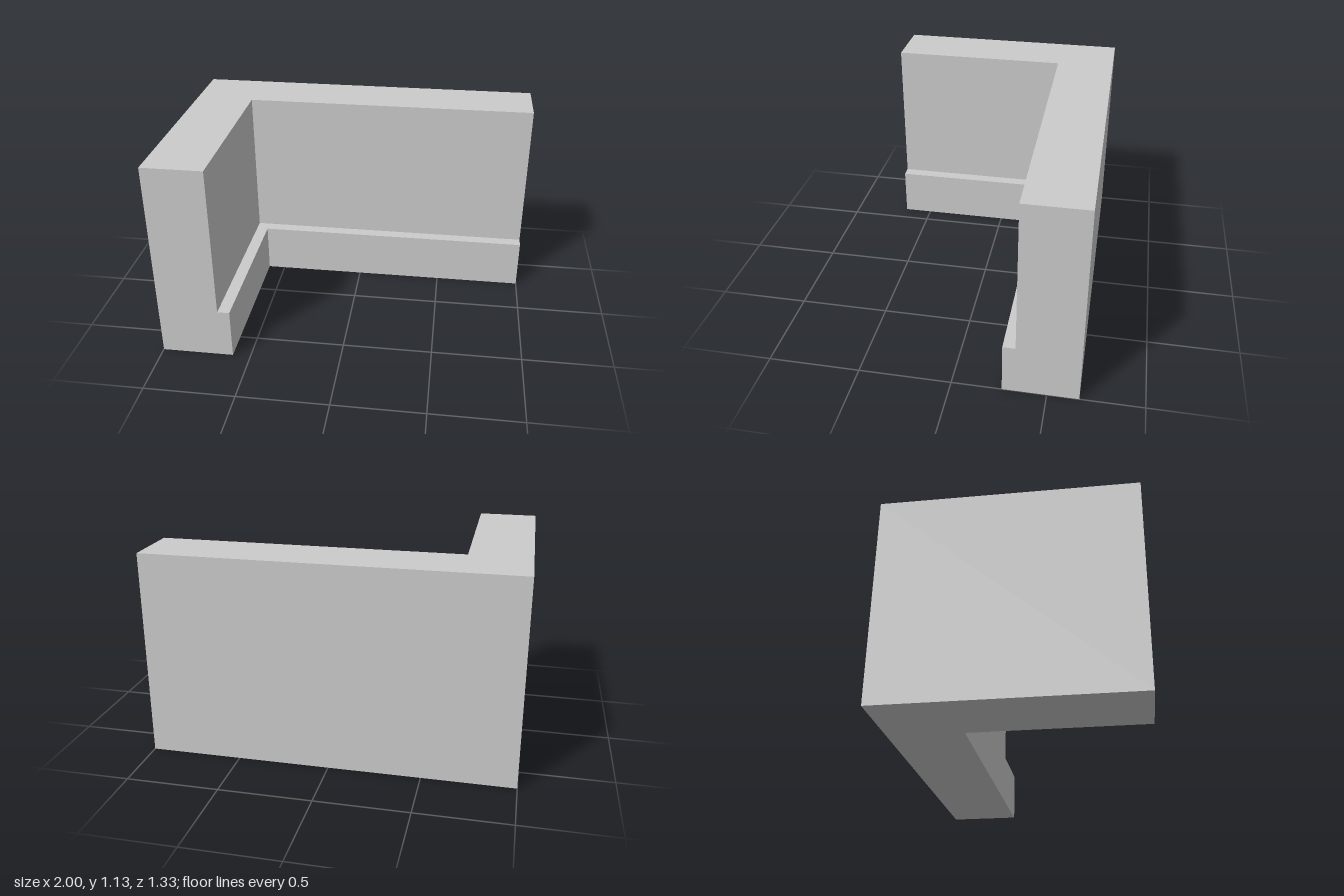
import * as THREE from 'three';

const HALF_X = 1, HALF_Z = 0.667, HEIGHT = 1.133;
const WALL = 0.333, PLINTH = 0.4, LEDGE = 0.285;

// Wall section: x = distance in from the outer face, y = height
const profile = [
  [0, 0], [PLINTH, 0], [PLINTH, LEDGE], [WALL, LEDGE], [WALL, HEIGHT], [0, HEIGHT],
].map(([d, y]) => new THREE.Vector2(d, y));

// Section swept round the corner: front end, mitred corner, right end
const stations = [
  (p) => [-HALF_X + p.x, p.y, HALF_Z],
  (p) => [-HALF_X + p.x, p.y, -HALF_Z + p.x],
  (p) => [HALF_X, p.y, -HALF_Z + p.x],
];

function sweepGeometry() {
  const rings = stations.map((place) => profile.map(place));
  const positions = [];
  const tri = (a, b, c) => positions.push(...a, ...b, ...c);

  // Long faces between neighbouring sections
  for (let s = 0; s < rings.length - 1; s++) {
    const a = rings[s], b = rings[s + 1];
    for (let i = 0; i < profile.length; i++) {
      const j = (i + 1) % profile.length;
      tri(a[i], b[i], a[j]);
      tri(a[j], b[i], b[j]);
    }
  }

  // End caps
  const first = rings[0], last = rings[rings.length - 1];
  for (const [i, j, k] of THREE.ShapeUtils.triangulateShape(profile, [])) {
    tri(first[i], first[j], first[k]);
    tri(last[i], last[k], last[j]);
  }

  const geometry = new THREE.BufferGeometry();
  geometry.setAttribute('position', new THREE.Float32BufferAttribute(positions, 3));
  geometry.computeVertexNormals();
  return geometry;
}

export function createModel() {
  const group = new THREE.Group();
  group.name = 'cornerWall';
  const material = new THREE.MeshStandardMaterial({ color: 0xcccccc, flatShading: true });
  const wall = new THREE.Mesh(sweepGeometry(), material);
  wall.name = 'wallWithPlinth';
  group.add(wall);
  return group;
}
